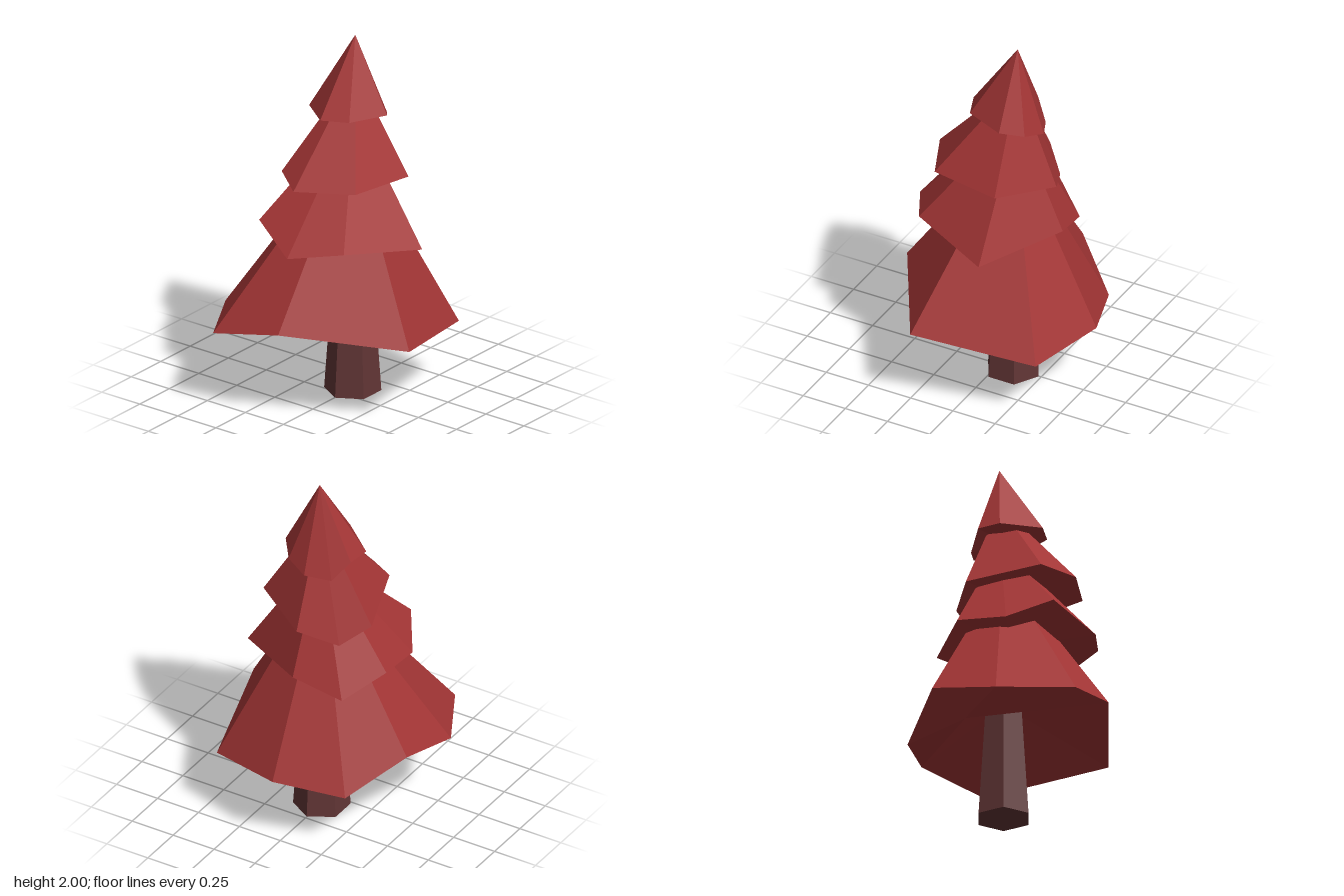
import * as THREE from 'three';

const foliageMat = new THREE.MeshStandardMaterial({ color: 0xa33535 });
foliageMat.name = 'dark red foliage';
const barkMat = new THREE.MeshStandardMaterial({ color: 0x613535 });
barkMat.name = 'brown bark';

// Triangles from each step of a path to one point, facing up or down.
function fan(path, point, up) {
  return path.slice(1).flatMap((b, i) => (up ? [path[i], point, b] : [path[i], b, point]));
}

// Irregular cone: rim corners run from +x towards +z, joined to a tip above and closed below.
function foliageTier(name, rim, tip, underside) {
  const corners = [...fan([...rim, rim[0]], tip, true), ...underside(rim)];
  const geo = new THREE.BufferGeometry();
  geo.setAttribute('position', new THREE.Float32BufferAttribute(corners.flat(), 3));
  geo.computeVertexNormals();
  const mesh = new THREE.Mesh(geo, foliageMat);
  mesh.name = name;
  return mesh;
}

// Underside meeting at a single point
const simpleUnderside = (hub) => (rim) => fan([...rim, rim[0]], hub, false);

// Underside with a low lip at the back and a hollow around the trunk
const hollowUnderside = (lip, hollow) => (rim) => [
  ...fan([...rim.slice(3), rim[0]], lip, false),
  ...fan([...rim.slice(0, 4), lip, rim[0]], hollow, false),
];

export function createModel() {
  const tree = new THREE.Group();
  tree.name = 'tree';

  // Tapered six-sided trunk
  const trunkGeo = new THREE.CylinderGeometry(0.102, 0.15, 0.7, 6).rotateY(Math.PI / 6).toNonIndexed();
  trunkGeo.computeVertexNormals();
  const trunk = new THREE.Mesh(trunkGeo, barkMat);
  trunk.name = 'trunk';
  trunk.position.set(0.086, 0.35, 0.002);
  tree.add(trunk);

  // Four overlapping foliage tiers, bottom to top
  tree.add(foliageTier('bottomTier', [
    [0.577, 0.41, 0], [0.447, 0.372, 0.42], [-0.2, 0.467, 0.595], [-0.545, 0.52, 0],
    [-0.58, 0.438, -0.4], [-0.215, 0.445, -0.6], [0.18, 0.54, -0.575], [0.45, 0.363, -0.365],
  ], [0.085, 1.42, 0], hollowUnderside([0.1, 0.43, -0.37], [0.085, 0.65, 0])));

  tree.add(foliageTier('lowerMiddleTier', [
    [0.377, 0.95, 0], [0.117, 0.895, 0.435], [-0.33, 0.972, 0.265], [-0.468, 0.927, 0],
    [-0.367, 1.045, -0.262], [-0.16, 0.942, -0.4], [0.123, 0.98, -0.415], [0.33, 0.87, -0.27],
  ], [0.105, 1.57, 0], simpleUnderside([0, 0.95, -0.05])));

  tree.add(foliageTier('upperMiddleTier', [
    [0.34, 1.215, 0], [0.148, 1.268, 0.32], [-0.235, 1.282, 0.268], [-0.37, 1.265, -0.035],
    [-0.256, 1.3, -0.2], [0.123, 1.238, -0.325], [0.25, 1.146, -0.205],
  ], [0.11, 1.8, 0], simpleUnderside([0.05, 1.25, -0.02])));

  tree.add(foliageTier('topTier', [
    [0.265, 1.523, 0], [0.218, 1.56, 0.123], [0.112, 1.597, 0.207], [-0.104, 1.607, 0.126],
    [-0.162, 1.602, -0.02], [-0.013, 1.588, -0.208], [0.123, 1.593, -0.198], [0.205, 1.5, -0.13],
  ], [0.11, 2, 0], simpleUnderside([0.07, 1.58, 0])));

  return tree;
}
